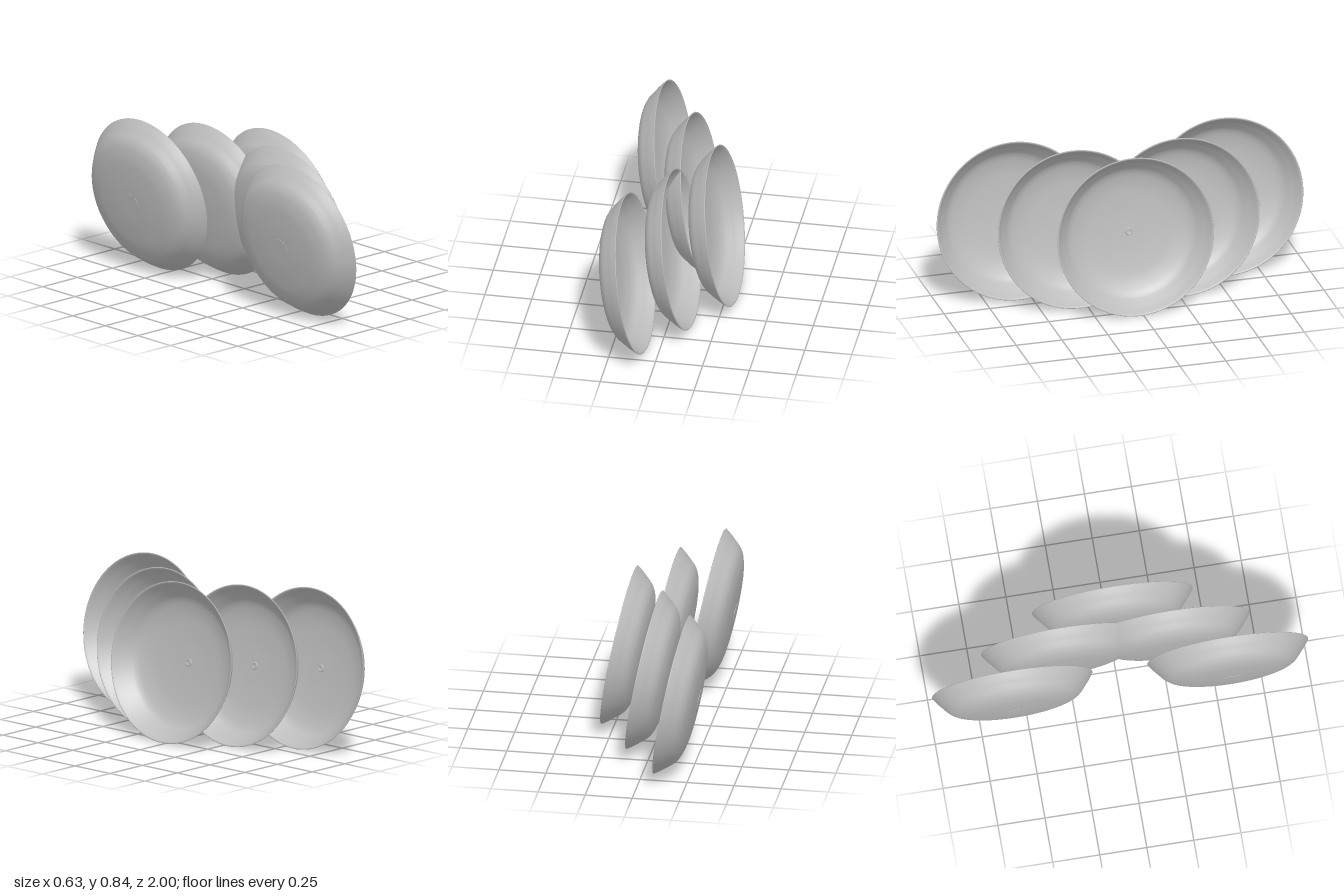
import * as THREE from 'three';

const metal = new THREE.MeshStandardMaterial({ color: 0xbcbcbc });
metal.name = 'plain grey';

const v = (x, y) => new THREE.Vector2(x, y);
const lathe = (points, segments) => new THREE.LatheGeometry(points, segments);

// Shell section: outside from the centre to the rim, then back along the inside
function shellGeometry() {
  const outer = [
    [0, -0.146], [0.1, -0.145], [0.2, -0.138], [0.26, -0.13], [0.315, -0.114],
    [0.347, -0.095], [0.366, -0.076], [0.382, -0.057], [0.402, -0.034], [0.425, -0.003],
  ];
  const inner = [
    [0.42, 0.001], [0.395, -0.033], [0.375, -0.056], [0.359, -0.074], [0.341, -0.091],
    [0.311, -0.107], [0.258, -0.122], [0.2, -0.13], [0.1, -0.137], [0, -0.138],
  ];
  const smooth = (list) => new THREE.SplineCurve(list.map(([x, y]) => v(x, y))).getPoints(36);
  const profile = [...smooth(outer), v(0.427, 0), v(0.425, 0.002), ...smooth(inner)];
  profile.forEach((p) => { p.x = Math.max(p.x, 0); });
  return lathe(profile, 96);
}

const shell = shellGeometry();
// Shallow pad behind the bowl
const pad = new THREE.CylinderGeometry(0.06, 0.06, 0.004, 40);
// Small fastener with a recessed hexagonal socket
const collar = lathe([v(0.02, -0.14), v(0.02, -0.135), v(0.017, -0.133), v(0.011, -0.133), v(0.01, -0.137)], 24);
const socket = new THREE.CylinderGeometry(0.01, 0.01, 0.004, 6);

function makeBowl(name, x, z) {
  const bowl = new THREE.Group();
  bowl.name = name;
  const add = (geometry, part, y = 0) => {
    const mesh = new THREE.Mesh(geometry, metal);
    mesh.name = part;
    mesh.position.y = y;
    bowl.add(mesh);
  };
  add(shell, 'bowlShell');
  add(pad, 'backPad', -0.1455);
  add(collar, 'fastenerCollar');
  add(socket, 'fastenerSocket', -0.138);
  // The open side faces +x and tips ten degrees upward
  bowl.rotation.z = THREE.MathUtils.degToRad(-80);
  bowl.position.set(x, 0.423, z);
  return bowl;
}

export function createModel() {
  const model = new THREE.Group();
  model.name = 'bowlFormation';
  // Wedge arrangement: one leading bowl and two behind on each side
  const layout = [
    ['leadBowl', 0.237, 0.022],
    ['middleBowlFront', 0.054, 0.295],
    ['middleBowlBack', 0.054, -0.279],
    ['outerBowlFront', -0.14, 0.573],
    ['outerBowlBack', -0.14, -0.573],
  ];
  for (const [name, x, z] of layout) model.add(makeBowl(name, x, z));
  return model;
}
